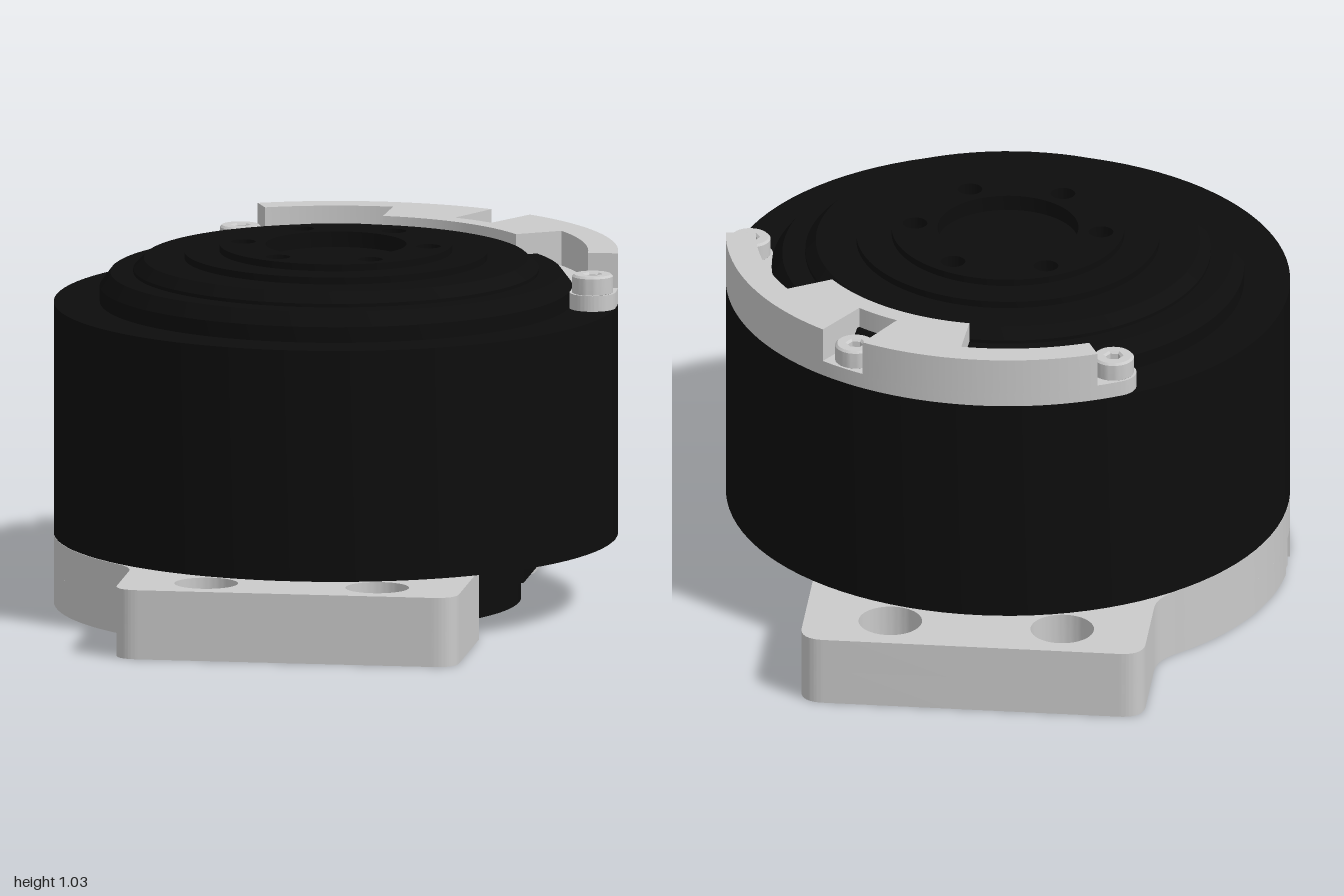
import * as THREE from 'three';
import { toCreasedNormals } from 'three/addons/utils/BufferGeometryUtils.js';

const rad = THREE.MathUtils.degToRad;
const metal = new THREE.MeshStandardMaterial({ color: 0xcacaca });
metal.name = 'light grey metal';
const black = new THREE.MeshStandardMaterial({ color: 0x0d0d0d });
black.name = 'black housing';

function addMesh(parent, name, geometry, material) {
  const mesh = new THREE.Mesh(toCreasedNormals(geometry, rad(25)), material);
  mesh.name = name;
  parent.add(mesh);
  return mesh;
}

// Plan shapes use (x, -z); they are raised from y0 to y1
function slab(shape, y0, y1) {
  const g = new THREE.ExtrudeGeometry(shape, { depth: y1 - y0, bevelEnabled: false, curveSegments: 40 });
  g.rotateX(-Math.PI / 2);
  g.translate(0, y0, 0);
  return g;
}

function addHole(shape, x, y, r) {
  shape.holes.push(new THREE.Path().absarc(x, y, r, 0, Math.PI * 2, true));
}

function polar(r, deg) {
  return [r * Math.cos(rad(deg)), r * Math.sin(rad(deg))];
}

// Base outline: two bolt flanges joined by an arc on one side, open on the other
function baseShape(notched) {
  const s = new THREE.Shape();
  s.moveTo(0.42, 0.48);
  s.quadraticCurveTo(0.49, 0.48, 0.49, 0.55);
  s.lineTo(0.49, 0.93);
  s.quadraticCurveTo(0.49, 1, 0.42, 1);
  s.lineTo(-0.42, 1);
  s.quadraticCurveTo(-0.49, 1, -0.49, 0.93);
  s.lineTo(-0.49, 0.7);
  s.quadraticCurveTo(-0.49, 0.632, ...polar(0.8, 133.4));
  if (notched) {
    s.absarc(0, 0, 0.8, rad(133.4), rad(176), false);
    s.absarc(-0.74, 0, 0.056, rad(90), rad(270), false);
    s.absarc(0, 0, 0.8, rad(184), rad(226.6), false);
  } else {
    s.absarc(0, 0, 0.8, rad(133.4), rad(226.6), false);
  }
  s.quadraticCurveTo(-0.49, -0.632, -0.49, -0.7);
  s.lineTo(-0.49, -0.93);
  s.quadraticCurveTo(-0.49, -1, -0.42, -1);
  s.lineTo(0.42, -1);
  s.quadraticCurveTo(0.49, -1, 0.49, -0.93);
  s.lineTo(0.49, -0.55);
  s.quadraticCurveTo(0.49, -0.48, 0.42, -0.48);
  s.absarc(0, 0, 0.53, rad(-65), rad(65), true);
  for (const sx of [-1, 1]) for (const sy of [-1, 1]) {
    addHole(s, sx * 0.245, sy * 0.86, notched ? 0.055 : 0.09);
    if (notched) addHole(s, sx * 0.37, sy * 0.64, 0.055);
  }
  return s;
}

function buildBase() {
  const base = new THREE.Group();
  base.name = 'mountingBase';
  addMesh(base, 'baseLowerLayer', slab(baseShape(true), 0, 0.1), metal);
  addMesh(base, 'baseUpperLayer', slab(baseShape(false), 0.1, 0.199), metal);
  return base;
}

function buildHousing() {
  const housing = new THREE.Group();
  housing.name = 'housing';
  // Stepped round body
  const profile = [
    [0, 0.012], [0.525, 0.012], [0.525, 0.2], [0.8, 0.2], [0.8, 0.865], [0.67, 0.865], [0.67, 0.91],
    [0.64, 0.95], [0.575, 0.95], [0.575, 0.96], [0.545, 0.99], [0.43, 0.99], [0.43, 1.01],
    [0.33, 1.01], [0.325, 0.985], [0, 0.985],
  ].map(([x, y]) => new THREE.Vector2(x, y));
  addMesh(housing, 'body', new THREE.LatheGeometry(profile, 96), black);

  // Output hub ring with six bolt holes
  const ring = new THREE.Shape().absarc(0, 0, 0.33, 0, Math.PI * 2, false);
  addHole(ring, 0, 0, 0.2);
  for (let i = 0; i < 6; i++) addHole(ring, ...polar(0.265, i * 60), 0.035);
  addMesh(housing, 'hubRing', slab(ring, 0.98, 1.03), black);

  // Cable outlet block in the open side of the base
  const block = new THREE.Shape([
    [0.3, -0.46], [0.36, -0.46], [0.58, -0.29], [0.58, 0.29], [0.36, 0.46], [0.3, 0.46],
  ].map(([x, y]) => new THREE.Vector2(x, y)));
  addMesh(housing, 'outletBlock', slab(block, 0.12, 0.2), black);
  return housing;
}

function buildBracket() {
  const bracket = new THREE.Group();
  bracket.name = 'topBracket';

  // Low flange with round ends
  const flange = new THREE.Shape();
  flange.absarc(0, 0, 0.8, 0, rad(120), false);
  flange.absarc(...polar(0.735, 120), 0.065, rad(120), rad(300), false);
  flange.absarc(0, 0, 0.67, rad(120), 0, true);
  flange.absarc(0.735, 0, 0.065, rad(180), rad(360), false);
  addMesh(bracket, 'bracketFlange', slab(flange, 0.865, 0.91), metal);

  // Tall rim with a wide inner tab, notched for the middle screw
  const rim = new THREE.Shape();
  rim.moveTo(...polar(0.8, 5.5));
  const arcs = [
    [0.8, 5.5, 55], [0.63, 54, 66], [0.8, 65, 114.5],
    [0.725, 114.5, 85.5], [0.575, 85, 36], [0.715, 35, 5.5],
  ];
  for (const [r, a, b] of arcs) rim.absarc(0, 0, r, rad(a), rad(b), b < a);
  addMesh(bracket, 'bracketRim', slab(rim, 0.905, 1.01), metal);

  // Socket-head screws
  const head = new THREE.Shape().absarc(0, 0, 0.052, 0, Math.PI * 2, false);
  const hex = [];
  for (let i = 0; i < 6; i++) hex.push(new THREE.Vector2(...polar(0.029, -i * 60)));
  head.holes.push(new THREE.Path(hex));
  const headGeometry = new THREE.ExtrudeGeometry(head, {
    depth: 0.046, bevelThickness: 0.006, bevelSize: 0.006, bevelSegments: 1, curveSegments: 24,
  });
  headGeometry.rotateX(-Math.PI / 2);
  for (const angle of [0, 60, 120]) {
    const [x, y] = polar(0.735, angle);
    addMesh(bracket, 'screwHead', headGeometry, metal).position.set(x, 0.911, -y);
  }
  return bracket;
}

export function createModel() {
  const model = new THREE.Group();
  model.name = 'rotaryActuator';
  model.add(buildBase(), buildHousing(), buildBracket());
  return model;
}
